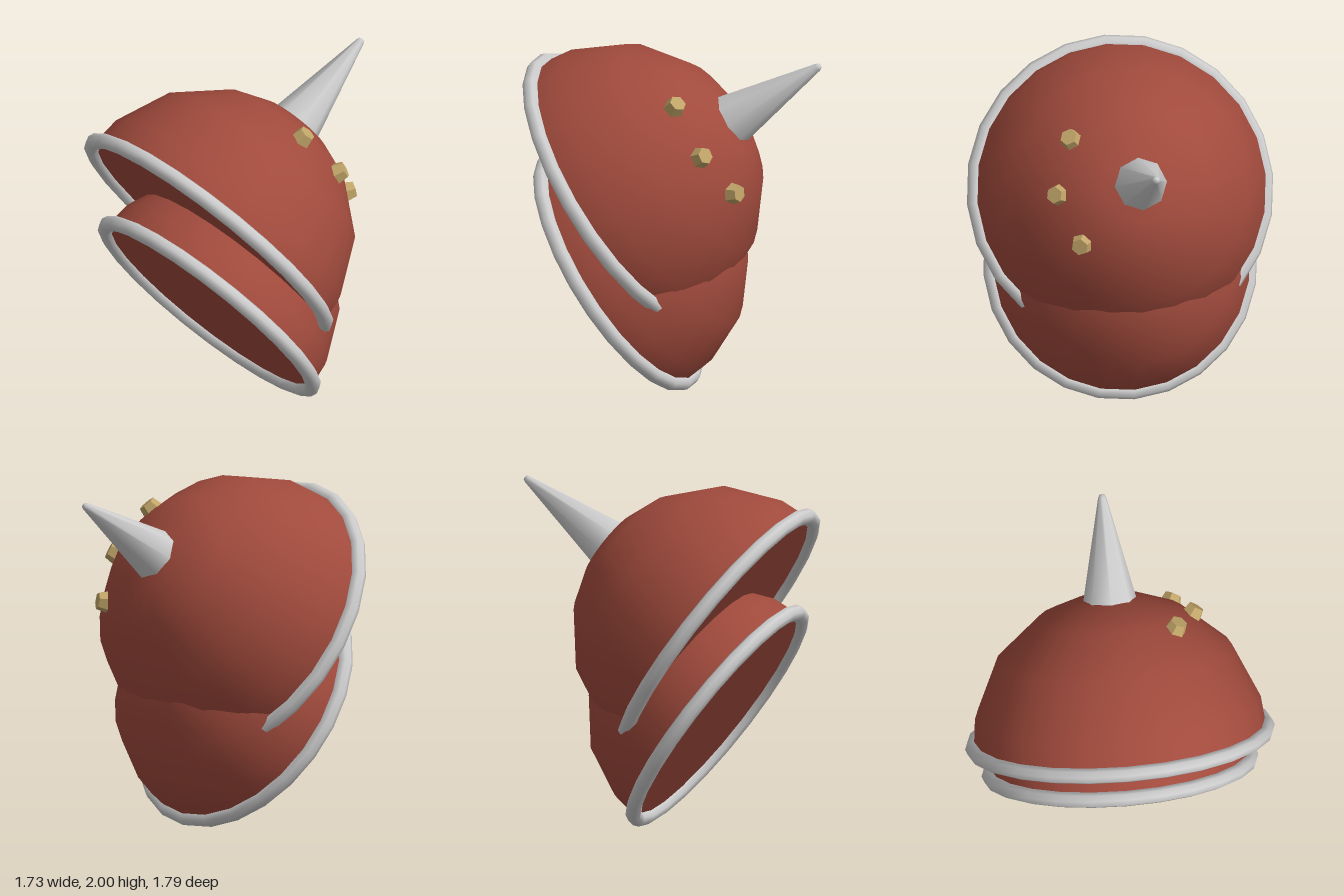
import * as THREE from 'three';

const TILT = THREE.MathUtils.degToRad(-55.1); // leans each shell's axis towards +x
const UP = new THREE.Vector3(0, 1, 0);

const material = (color, flatShading = false) =>
  new THREE.MeshStandardMaterial({ color, flatShading });

function addMesh(parent, name, geometry, mat) {
  const mesh = new THREE.Mesh(geometry, mat);
  mesh.name = name;
  parent.add(mesh);
  return mesh;
}

// Half-round shell with a closed underside and a rolled rim
function createShell(name, radius, rimRadius, center, red, grey) {
  const shell = new THREE.Group();
  shell.name = name;
  shell.position.copy(center);
  shell.rotation.z = TILT;

  const profile = [90, 78, 54, 30, 15, 0].map((deg) => {
    const a = THREE.MathUtils.degToRad(deg);
    return new THREE.Vector2(radius * Math.sin(a), radius * Math.cos(a));
  });
  addMesh(shell, name + 'Dome', new THREE.LatheGeometry(profile, 24), red);
  addMesh(shell, name + 'Underside', new THREE.CircleGeometry(radius, 24).rotateX(Math.PI / 2), red);
  addMesh(shell, name + 'Rim', new THREE.TorusGeometry(rimRadius, 0.046, 8, 24).rotateX(Math.PI / 2), grey);
  return shell;
}

export function createModel() {
  const model = new THREE.Group();
  model.name = 'hornedShells';
  const red = material(0xa04a3c);
  const grey = material(0xcccccc);
  const brass = material(0xc0a468, true);

  // Two overlapping shells
  const center = new THREE.Vector3(-0.34, 1.165, 0);
  const upper = createShell('upperShell', 0.845, 0.85, center, red, grey);
  const lower = createShell('lowerShell', 0.752, 0.755, new THREE.Vector3(-0.335, 0.675, 0), red, grey);
  model.add(upper, lower);

  // Horn with a blunt tip, standing on the crown of the upper shell
  const hornProfile = [[0.168, 0.76], [0.156, 0.81], [0.024, 1.43], [0.016, 1.447], [0, 1.452]]
    .map(([x, y]) => new THREE.Vector2(x, y));
  addMesh(upper, 'horn', new THREE.LatheGeometry(hornProfile, 8, Math.PI / 2), grey);

  // Row of hexagonal studs on the left side of the upper shell
  const studGeometry = new THREE.CylinderGeometry(0.05, 0.07, 0.085, 6);
  [[0.065, 1.81, 0.36], [0.24, 1.555, 0.47], [0.41, 1.31, 0.36]].forEach((p, i) => {
    const direction = new THREE.Vector3(...p).sub(center).normalize();
    const stud = addMesh(model, 'stud' + (i + 1), studGeometry, brass);
    stud.position.copy(center).addScaledVector(direction, 0.845);
    stud.quaternion.setFromUnitVectors(UP, direction);
  });

  return model;
}
